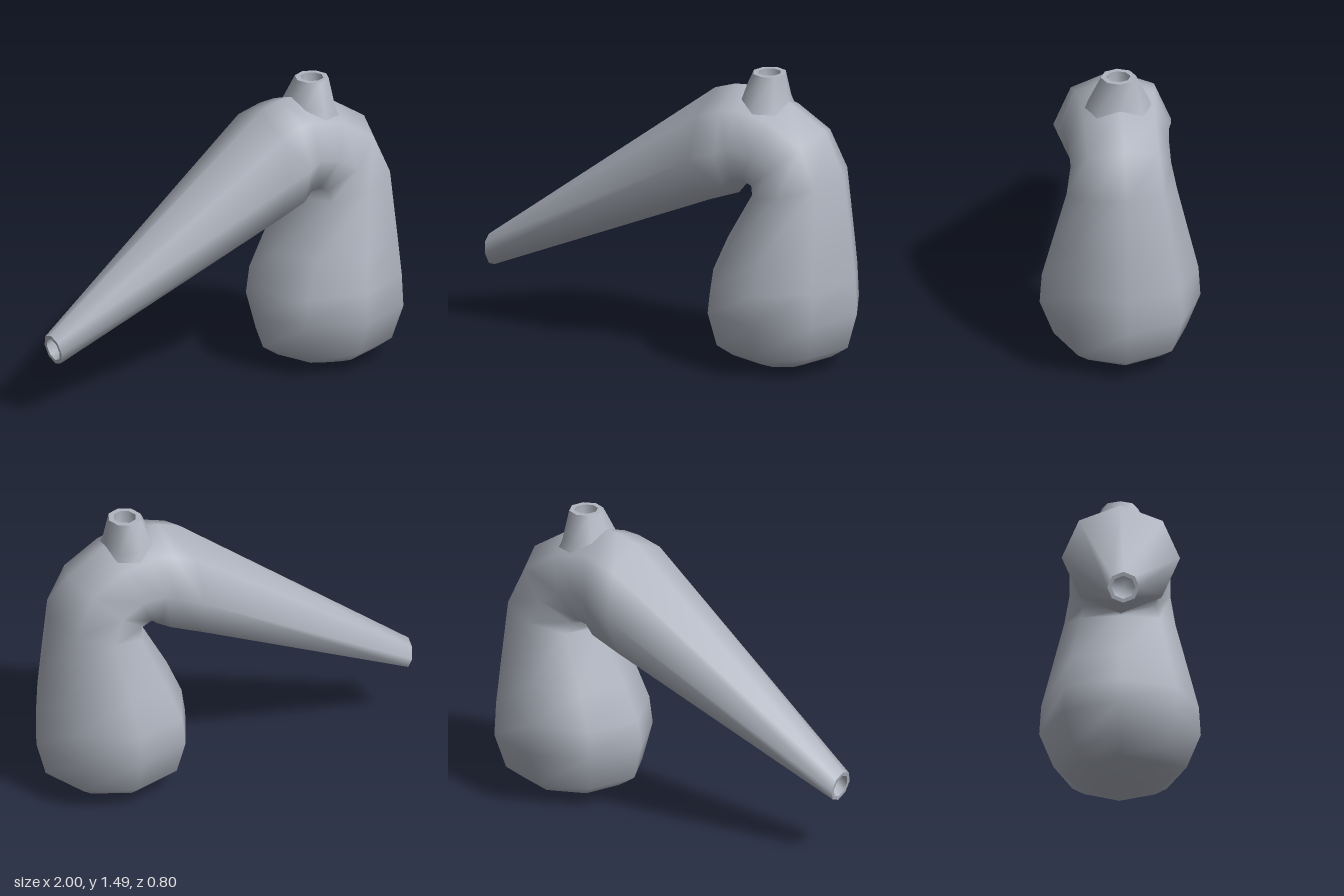
import * as THREE from 'three';

const SIDES = 8;

// Skin a series of oval rings. Each ring is [innerX, innerY, outerX, outerY, halfDepth].
function sweep(rings, capStart, capEnd) {
  const pos = [], index = [];
  const centre = (r) => [(r[0] + r[2]) / 2, (r[1] + r[3]) / 2, 0];
  for (const r of rings) {
    const [cx, cy] = centre(r);
    for (let i = 0; i < SIDES; i++) {
      const a = (i / SIDES) * Math.PI * 2;
      const c = Math.cos(a), s = Math.sin(a);
      pos.push(cx + c * (r[2] - cx), cy + c * (r[3] - cy), s * r[4]);
    }
  }
  for (let k = 0; k < rings.length - 1; k++) {
    for (let i = 0; i < SIDES; i++) {
      const a = k * SIDES + i, b = k * SIDES + ((i + 1) % SIDES);
      index.push(a, a + SIDES, b, b, a + SIDES, b + SIDES);
    }
  }
  const cap = (k, flip) => {
    const m = pos.length / 3;
    pos.push(...centre(rings[k]));
    for (let i = 0; i < SIDES; i++) {
      const a = k * SIDES + i, b = k * SIDES + ((i + 1) % SIDES);
      if (flip) index.push(a, b, m);
      else index.push(b, a, m);
    }
  };
  if (capStart) cap(0, true);
  if (capEnd) cap(rings.length - 1, false);
  const g = new THREE.BufferGeometry();
  g.setAttribute('position', new THREE.Float32BufferAttribute(pos, 3));
  g.setIndex(index);
  g.computeVertexNormals();
  return g;
}

export function createModel() {
  const group = new THREE.Group();
  const glass = new THREE.MeshStandardMaterial({ color: 0xb0b5c0 });
  glass.name = 'greyGlass';
  const add = (name, geometry) => {
    const mesh = new THREE.Mesh(geometry, glass);
    mesh.name = name;
    group.add(mesh);
  };

  // Bulb that bends over at the crook and tapers into the long spout
  add('bulbAndSpout', sweep([
    [0.47, 0.0, 0.73, 0.0, 0.13],
    [0.33, 0.05, 0.86, 0.05, 0.25],
    [0.24, 0.11, 0.95, 0.11, 0.33],
    [0.2, 0.29, 1.0, 0.29, 0.4],
    [0.22, 0.42, 0.99, 0.47, 0.39],
    [0.3, 0.6, 0.97, 0.67, 0.345],
    [0.45, 0.87, 0.93, 1.0, 0.275],
    [0.45, 0.9, 0.83, 1.22, 0.25],
    [0.43, 0.905, 0.63, 1.35, 0.25],
    [0.4, 0.89, 0.42, 1.41, 0.265],
    [0.36, 0.84, 0.34, 1.405, 0.28],
    [0.2, 0.78, 0.23, 1.37, 0.293],
    [-0.97, 0.278, -1.0, 0.433, 0.08],
  ], true, false));

  // Open end of the spout: rim and recess
  add('spoutRim', sweep([
    [-0.97, 0.278, -1.0, 0.433, 0.08],
    [-0.973, 0.298, -0.995, 0.413, 0.06],
  ]));
  add('spoutBore', sweep([
    [-0.973, 0.298, -0.995, 0.413, 0.06],
    [-0.85, 0.352, -0.872, 0.48, 0.065],
  ], false, true));

  // Short flared neck on top
  add('neck', sweep([
    [0.32, 1.24, 0.7, 1.2, 0.2],
    [0.385, 1.37, 0.632, 1.345, 0.15],
    [0.44, 1.49, 0.61, 1.49, 0.088],
  ]));
  add('neckRim', sweep([
    [0.44, 1.49, 0.61, 1.49, 0.088],
    [0.467, 1.49, 0.583, 1.49, 0.06],
  ]));
  add('neckBore', sweep([
    [0.467, 1.49, 0.583, 1.49, 0.06],
    [0.46, 1.36, 0.59, 1.36, 0.065],
  ], false, true));

  return group;
}
